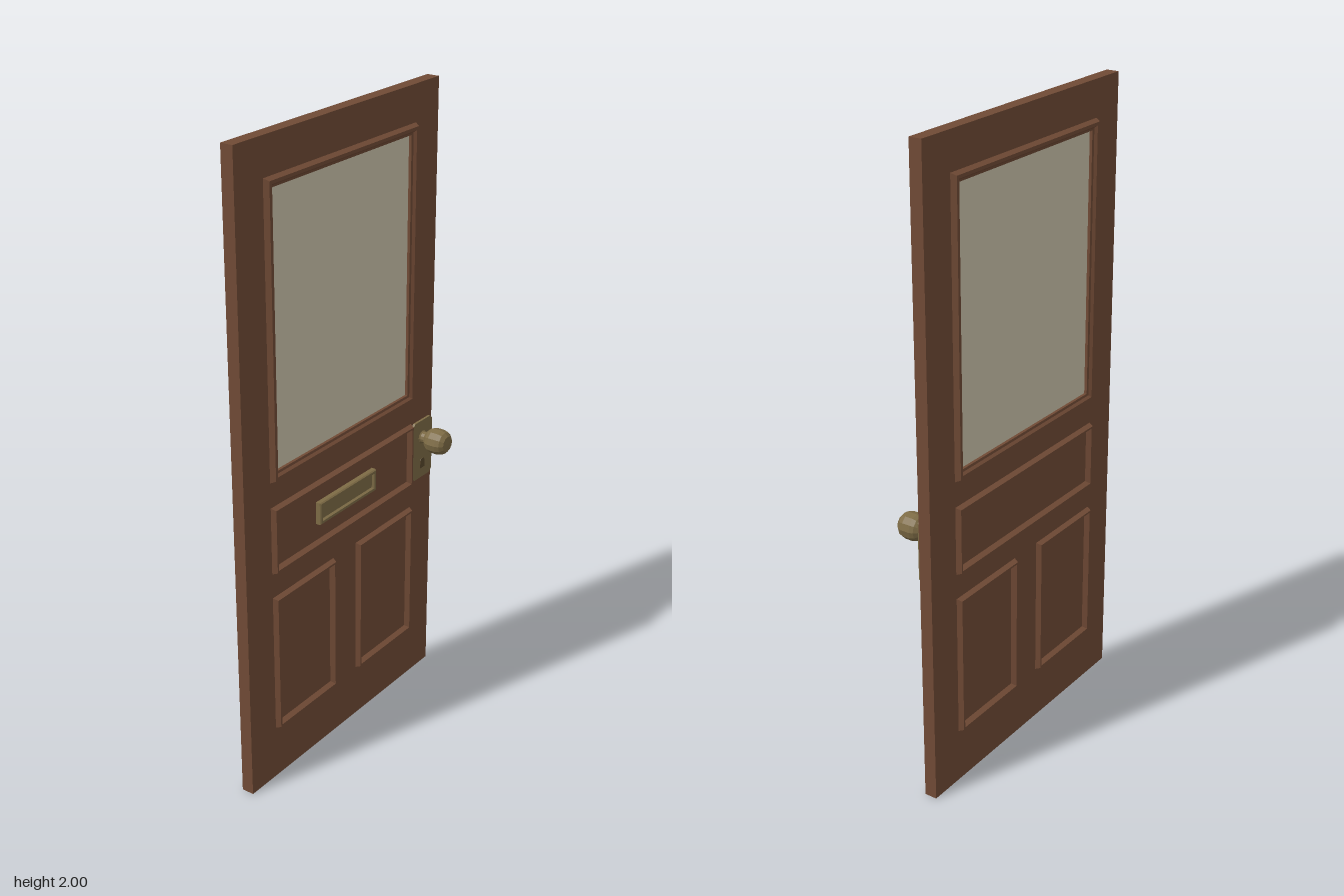
import * as THREE from 'three';

const wood = new THREE.MeshStandardMaterial({ name: 'brown wood', color: 0x704a35 });
const glass = new THREE.MeshStandardMaterial({ name: 'frosted glass', color: 0xccc4ac });
const brass = new THREE.MeshStandardMaterial({ name: 'aged brass', color: 0x7d6b45 });
const dark = new THREE.MeshStandardMaterial({ name: 'dark hole', color: 0x58472c });

const HALF = 0.02; // half the slab thickness

function add(parent, name, geometry, material, x = 0, y = 0, z = 0) {
  const mesh = new THREE.Mesh(geometry, material);
  mesh.name = name;
  mesh.position.set(x, y, z);
  parent.add(mesh);
  return mesh;
}

function polygon(points, Type = THREE.Shape) {
  return new Type(points.map(([x, y]) => new THREE.Vector2(x, y)));
}

const rect = (x0, x1, y0, y1) => [[x0, y0], [x1, y0], [x1, y1], [x0, y1]];

function extrude(outline, depth, hole) {
  const shape = polygon(outline);
  if (hole) shape.holes.push(polygon(hole, THREE.Path));
  return new THREE.ExtrudeGeometry(shape, { depth, bevelEnabled: false });
}

// Sweeps a profile of [inset, height] pairs round a rectangle with mitred corners
function mitredFrame(x0, x1, y0, y1, profile) {
  const rings = profile.map(([d, h]) =>
    rect(x0 + d, x1 - d, y0 + d, y1 - d).map(([x, y]) => [x, y, h]));
  const positions = [];
  for (let i = 0; i < rings.length - 1; i++) {
    for (let j = 0; j < 4; j++) {
      const k = (j + 1) % 4;
      const a = rings[i][j], b = rings[i][k], c = rings[i + 1][k], d = rings[i + 1][j];
      positions.push(...a, ...b, ...c, ...a, ...c, ...d);
    }
  }
  const geometry = new THREE.BufferGeometry();
  geometry.setAttribute('position', new THREE.Float32BufferAttribute(positions, 3));
  geometry.computeVertexNormals();
  return geometry;
}

// Mouldings of one face of the door
function mouldings(name) {
  const group = new THREE.Group();
  group.name = name;
  const wide = [[0, 0], [0.007, 0.016], [0.017, 0.016], [0.023, 0.008], [0.03, 0.006], [0.03, -0.004]];
  const slim = [[0, 0], [0.006, 0.016], [0.012, 0.016], [0.019, 0]];
  add(group, 'windowMoulding', mitredFrame(-0.353, 0.353, 1.005, 1.887, wide), wood);
  add(group, 'middlePanelMoulding', mitredFrame(-0.353, 0.353, 0.71, 0.925, slim), wood);
  for (const [x0, x1] of [[-0.353, -0.058], [0.058, 0.353]]) {
    add(group, 'lowerPanelMoulding', mitredFrame(x0, x1, 0.175, 0.63, slim), wood);
  }
  group.position.z = HALF;
  return group;
}

export function createModel() {
  const model = new THREE.Group();
  model.name = 'door';

  // Built facing +z, then turned so that the knob side looks along +x
  const door = new THREE.Group();
  door.name = 'doorLeaf';
  door.rotation.y = Math.PI / 2;
  door.position.x = -0.045;
  model.add(door);

  // Slab with the window opening, and its pane
  const slab = extrude(rect(-0.47, 0.47, 0, 2), 2 * HALF, rect(-0.323, 0.323, 1.035, 1.857));
  add(door, 'slab', slab, wood, 0, 0, -HALF);
  add(door, 'windowPane', new THREE.BoxGeometry(0.646, 0.822, 0.034), glass, 0, 1.446, 0);

  // Mouldings on both faces
  door.add(mouldings('outerMouldings'));
  const inner = new THREE.Group();
  inner.name = 'innerFace';
  inner.rotation.y = Math.PI;
  inner.add(mouldings('innerMouldings'));
  door.add(inner);

  // Letter slot: raised brass rim round a hinged flap
  const slot = new THREE.Group();
  slot.name = 'letterSlot';
  slot.position.set(0, 0.82, HALF);
  door.add(slot);
  add(slot, 'slotRim', mitredFrame(-0.142, 0.142, -0.036, 0.036,
    [[0, 0], [0, 0.014], [0.003, 0.018], [0.011, 0.018], [0.014, 0.009]]), brass);
  add(slot, 'slotFlap', new THREE.BoxGeometry(0.26, 0.048, 0.009), brass, 0, 0, 0.0055);

  // Lock plate with clipped corners and a keyhole
  const lock = new THREE.Group();
  lock.name = 'lock';
  lock.position.set(0.41, 0.82, HALF);
  door.add(lock);
  const w = 0.054, h = 0.1, c = 0.012;
  add(lock, 'lockPlate', extrude([[c - w, -h], [w - c, -h], [w, c - h], [w, h - c],
    [w - c, h], [c - w, h], [-w, h - c], [-w, c - h]], 0.008), brass);
  add(lock, 'keyhole', extrude([[-0.013, -0.067], [0.013, -0.067], [0.011, -0.04],
    [0.006, -0.034], [-0.006, -0.034], [-0.011, -0.04]], 0.002), dark, 0, 0, 0.0075);

  // Faceted knob on its neck
  const profile = [[0, 0.006], [0.024, 0.006], [0.019, 0.012], [0.018, 0.028], [0.026, 0.028],
    [0.037, 0.04], [0.041, 0.052], [0.041, 0.078], [0.037, 0.092], [0.026, 0.103], [0, 0.105]];
  const knobShape = new THREE.LatheGeometry(profile.map(([r, y]) => new THREE.Vector2(r, y)), 12)
    .toNonIndexed();
  knobShape.computeVertexNormals();
  knobShape.rotateX(Math.PI / 2);
  add(lock, 'knob', knobShape, brass, 0, 0.041, 0);

  return model;
}
